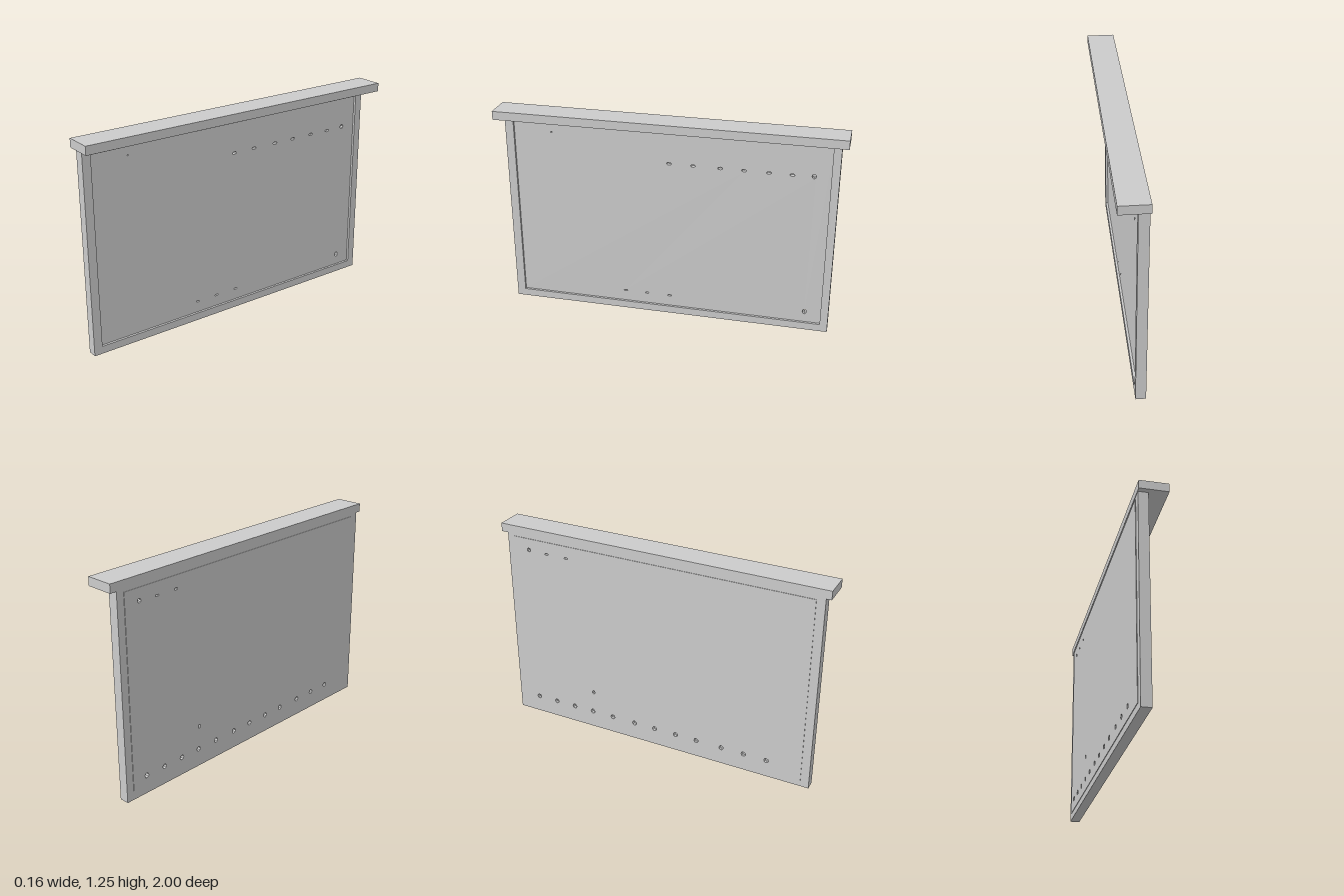
import * as THREE from 'three';

const material = new THREE.MeshStandardMaterial({ color: 0xcccccc });

// Rectangle in the side plane: u runs along -z, v is up
function rectangle(Type, u0, u1, v0, v1) {
  const p = new Type();
  p.moveTo(u0, v0);
  p.lineTo(u1, v0);
  p.lineTo(u1, v1);
  p.lineTo(u0, v1);
  p.closePath();
  return p;
}

// Small oval hole at depth position z and height y
function hole(z, y, rz, ry) {
  const p = new THREE.Path();
  p.absellipse(-z, y, rz, ry, 0, Math.PI * 2, true);
  return p;
}

// Sheet standing in the yz plane between x0 and x1
function sheet(name, shape, x0, x1) {
  const geometry = new THREE.ExtrudeGeometry(shape, { depth: x1 - x0, bevelEnabled: false, curveSegments: 4 });
  geometry.rotateY(Math.PI / 2);
  geometry.translate(x0, 0, 0);
  const mesh = new THREE.Mesh(geometry, material);
  mesh.name = name;
  return mesh;
}

export function createModel() {
  const group = new THREE.Group();
  group.name = 'cappedPanel';

  // Overhanging cap board
  const cap = new THREE.Mesh(new THREE.BoxGeometry(0.163, 0.05, 2), material);
  cap.name = 'capBoard';
  cap.position.set(-0.001, 1.225, 0);
  group.add(cap);

  // Surrounding frame
  const frame = rectangle(THREE.Shape, -0.97, 0.96, 0, 1.2);
  frame.holes.push(rectangle(THREE.Path, -0.92, 0.915, 0.045, 1.16));
  group.add(sheet('frame', frame, -0.08, -0.023));

  // Recessed panel on the overhang side, with its fixing holes
  const front = rectangle(THREE.Shape, -0.92, 0.915, 0.045, 1.16);
  for (const z of [0, -0.14, -0.295, -0.43, -0.57, -0.7]) front.holes.push(hole(z, 0.977, 0.015, 0.008));
  for (const z of [0.27, 0.135, -0.005]) front.holes.push(hole(z, 0.113, 0.013, 0.005));
  front.holes.push(hole(-0.82, 0.98, 0.012, 0.014), hole(-0.82, 0.113, 0.012, 0.016));
  front.holes.push(hole(0.695, 1.108, 0.005, 0.004));
  group.add(sheet('innerPanel', front, -0.062, -0.037));

  // Slightly proud backing panel with a row of holes along the bottom
  const back = rectangle(THREE.Shape, -0.92, 0.915, 0.04, 1.185);
  for (const z of [-0.82, -0.69, -0.56, -0.43, -0.29, -0.14, -0.005, 0.135, 0.27, 0.43, 0.57, 0.71]) {
    back.holes.push(hole(z, 0.11, 0.014, 0.015));
  }
  back.holes.push(hole(-0.42, 0.25, 0.009, 0.012), hole(-0.82, 1.115, 0.012, 0.012));
  for (const z of [-0.7, -0.57]) back.holes.push(hole(z, 1.11, 0.013, 0.006));
  group.add(sheet('backPanel', back, -0.083, -0.062));

  return group;
}
